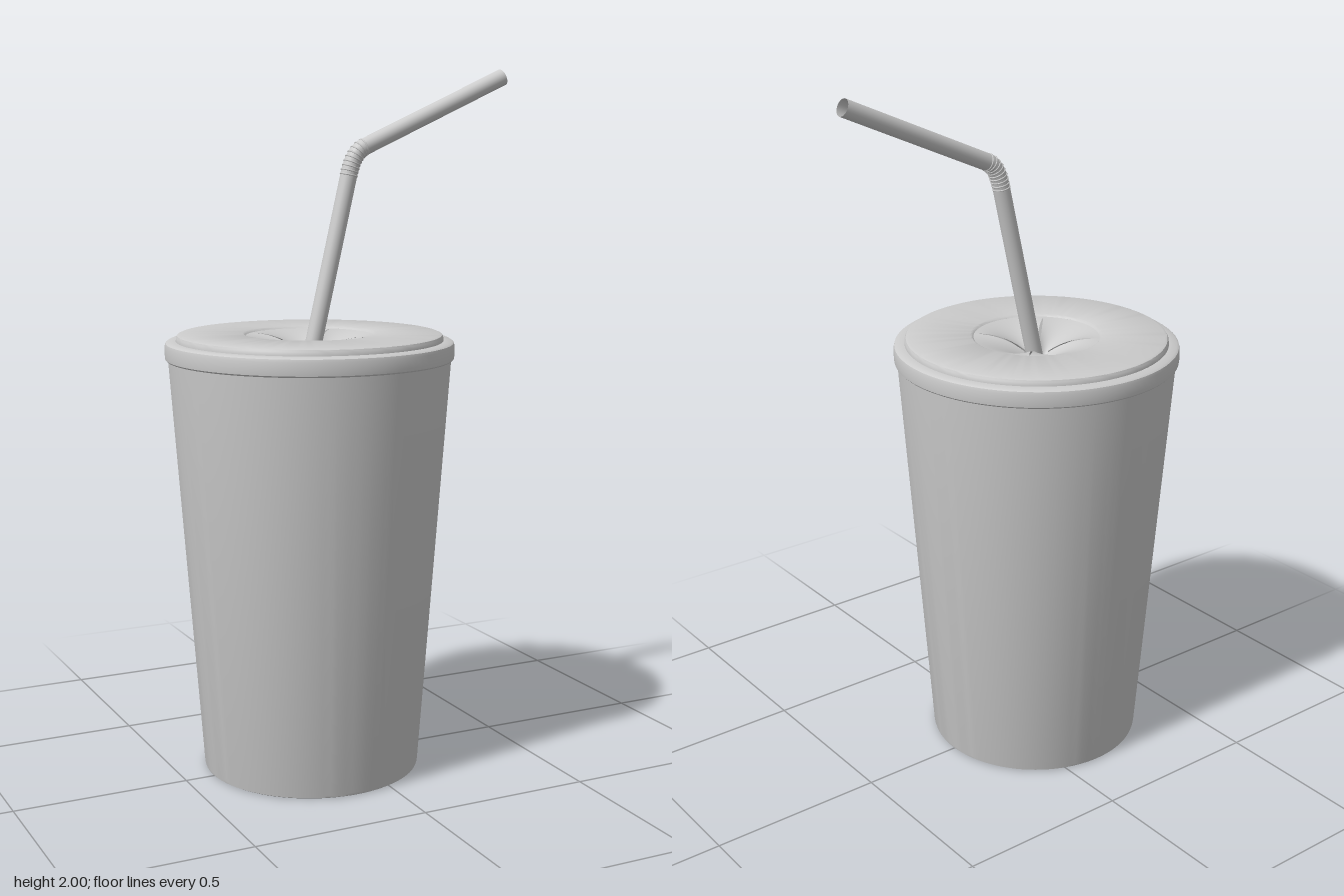
import * as THREE from 'three';
import { toCreasedNormals } from 'three/addons/utils/BufferGeometryUtils.js';

const material = new THREE.MeshStandardMaterial({ color: 0xcccccc, side: THREE.DoubleSide });

function addMesh(parent, name, geometry) {
  const mesh = new THREE.Mesh(geometry, material);
  mesh.name = name;
  parent.add(mesh);
  return mesh;
}

function lathe(profile) {
  const points = profile.map(([r, y]) => new THREE.Vector2(r, y));
  return toCreasedNormals(new THREE.LatheGeometry(points, 96), 0.6);
}

// One quarter of the pierced lid centre: a petal bent down towards the straw
function flapGeometry() {
  const outer = 0.18, inner = 0.034, slitEnd = 0.165;
  const geometry = new THREE.PlaneGeometry(1, 1, 16, 24);
  const pos = geometry.attributes.position;
  for (let i = 0; i < pos.count; i++) {
    const t = pos.getX(i) * 2;
    const u = 0.5 - pos.getY(i);
    const r = outer + (inner - outer) * u;
    const s = Math.max(0, (slitEnd - r) / (slitEnd - inner));
    const gap = 0.006 * Math.sqrt(s);
    const angle = t * (Math.PI / 4 - Math.asin(gap / r));
    // the petal sags most along its middle, its slit edges stay higher
    const drop = 0.004 + 0.07 * Math.pow(u, 2.4) * (1 - 0.35 * t * t)
      + 0.012 * Math.sin(Math.PI * u) * (1 - t * t);
    pos.setXYZ(i, r * Math.sin(angle), 1.258 - drop, r * Math.cos(angle));
  }
  geometry.computeVertexNormals();
  return geometry;
}

export function createModel() {
  const model = new THREE.Group();
  model.name = 'drinkCup';

  const vessel = new THREE.Group();
  vessel.name = 'cupAndLid';
  vessel.position.x = -0.108;
  model.add(vessel);

  // Tapered cup with a closed floor and a thin inner wall
  addMesh(vessel, 'cup', lathe([
    [0, 0], [0.304, 0], [0.309, 0.003], [0.311, 0.01],
    [0.4, 1.2], [0.392, 1.2], [0.303, 0.012], [0, 0.012],
  ]));

  // Snap-on lid: rolled rim, step and raised plateau with a centre opening
  addMesh(vessel, 'lid', lathe([
    [0.396, 1.188], [0.403, 1.188], [0.407, 1.192], [0.408, 1.2],
    [0.408, 1.228], [0.406, 1.236], [0.4, 1.24], [0.377, 1.241],
    [0.376, 1.252], [0.373, 1.257], [0.366, 1.26],
    [0.188, 1.26], [0.184, 1.258], [0.18, 1.254],
  ]));

  // Four petals around the straw
  const flaps = new THREE.Group();
  flaps.name = 'strawOpening';
  vessel.add(flaps);
  const flap = flapGeometry();
  for (let i = 0; i < 4; i++) {
    addMesh(flaps, 'lidFlap', flap).rotation.y = i * Math.PI / 2;
  }

  // Bent hollow straw
  const straw = new THREE.Group();
  straw.name = 'straw';
  straw.position.z = 0.013;
  model.add(straw);
  const v = (x, y) => new THREE.Vector3(x, y, 0);
  const bend = new THREE.QuadraticBezierCurve3(v(0.008, 1.7), v(0.0224, 1.763), v(0.055, 1.777));
  const path = new THREE.CurvePath();
  path.add(new THREE.LineCurve3(v(-0.131, 1.11), v(0.008, 1.7)));
  path.add(bend);
  path.add(new THREE.LineCurve3(v(0.055, 1.777), v(0.505, 1.977)));
  addMesh(straw, 'strawTube', new THREE.TubeGeometry(path, 140, 0.024, 24, false));

  // Fine ribs of the flexible bend
  const rib = new THREE.TorusGeometry(0.0235, 0.0025, 8, 24);
  const forward = new THREE.Vector3(0, 0, 1);
  for (let i = 0; i <= 8; i++) {
    const ring = addMesh(straw, 'bendRib', rib);
    ring.position.copy(bend.getPointAt(i / 8));
    ring.quaternion.setFromUnitVectors(forward, bend.getTangentAt(i / 8));
  }

  return model;
}
